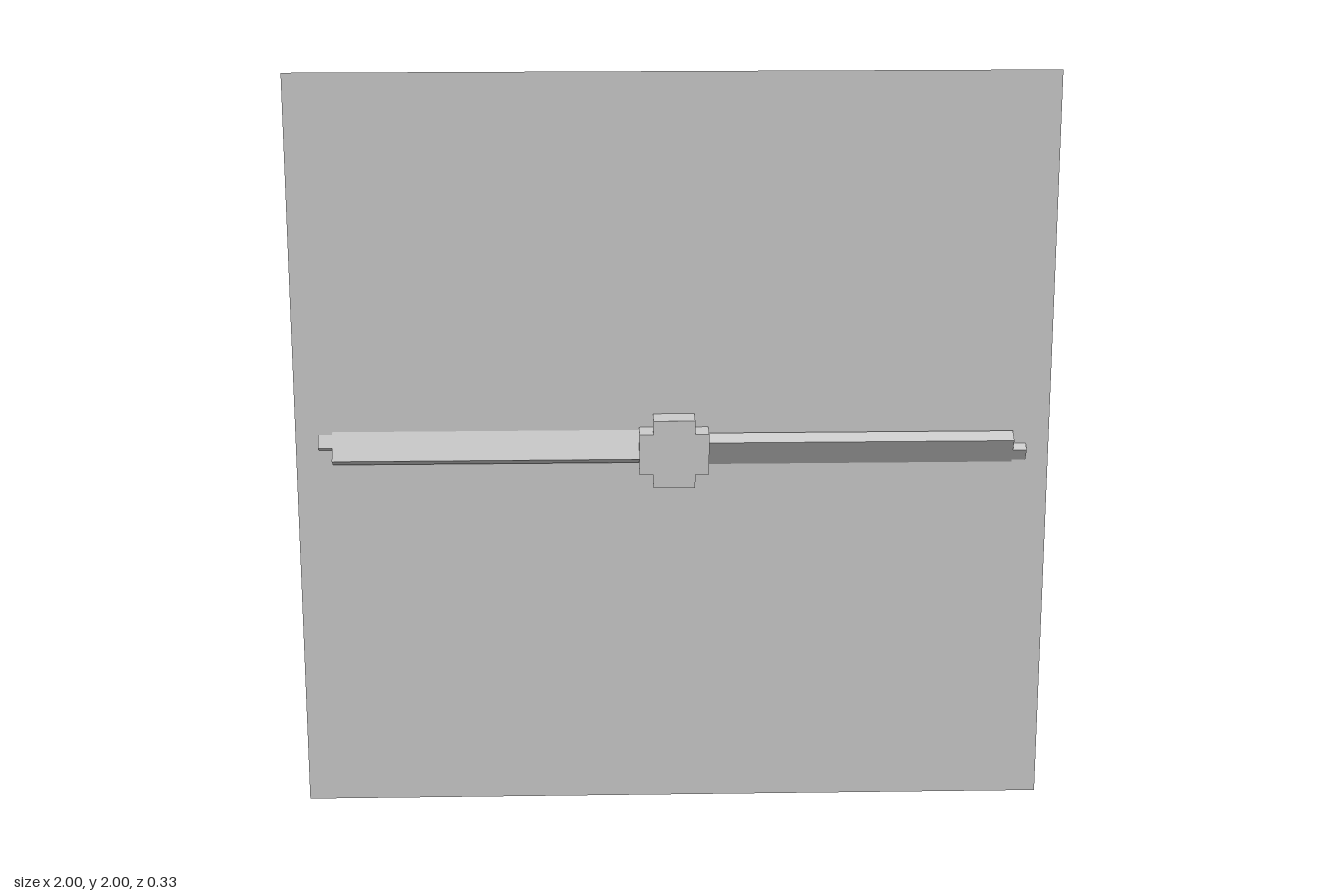
import * as THREE from 'three';

const U = 0.0367;       // basic block unit
const HUB_Z = 0.0915;   // middle of the hub

const material = new THREE.MeshStandardMaterial({ color: 0xcccccc, flatShading: true });
const sheetMaterial = new THREE.MeshStandardMaterial({ color: 0xcccccc, side: THREE.DoubleSide });

// Extrudes an outline given in block units
function extrudeOutline(name, points, depth) {
  const shape = new THREE.Shape(points.map(([x, y]) => new THREE.Vector2(x * U, y * U)));
  const geometry = new THREE.ExtrudeGeometry(shape, { depth: depth * U, bevelEnabled: false });
  const mesh = new THREE.Mesh(geometry, material);
  mesh.name = name;
  return mesh;
}

// Stepped blade, pitched 30 degrees, reaching out along +x
function createBlade(name) {
  const blade = extrudeOutline('bladePanel', [
    [2.5, 0], [2.5, -3], [4.5, -3], [4.5, -4], [22.6, -4], [22.6, -3], [24.6, -3],
    [24.6, -2], [25.6, -2], [25.6, -1], [24.6, -1], [24.6, 0],
  ], 1);
  blade.rotation.x = Math.PI / 6;
  blade.position.set(0, 0.04, 0.1);
  const group = new THREE.Group();
  group.name = name;
  group.add(blade);
  return group;
}

export function createModel() {
  const model = new THREE.Group();
  model.name = 'propeller';

  const rotor = new THREE.Group();
  rotor.name = 'rotor';
  rotor.position.y = 1;
  model.add(rotor);

  // Hub: square with its corners notched out
  const hub = extrudeOutline('hub', [
    [-1.5, -2.5], [1.5, -2.5], [1.5, -1.5], [2.5, -1.5], [2.5, 1.5], [1.5, 1.5],
    [1.5, 2.5], [-1.5, 2.5], [-1.5, 1.5], [-2.5, 1.5], [-2.5, -1.5], [-1.5, -1.5],
  ], 4);
  hub.position.z = HUB_Z - 2 * U;
  rotor.add(hub);

  // Drive shaft behind the hub
  const shaft = new THREE.Mesh(new THREE.BoxGeometry(2 * U, 2 * U, 5 * U), material);
  shaft.name = 'shaft';
  shaft.position.z = HUB_Z - 4.5 * U;
  rotor.add(shaft);

  // Two blades, half a turn apart
  ['leftBlade', 'rightBlade'].forEach((name, i) => {
    const blade = createBlade(name);
    blade.rotation.z = i * Math.PI;
    rotor.add(blade);
  });

  // Flat square sheet marking the spinning disc
  const sheet = new THREE.Mesh(new THREE.PlaneGeometry(2, 2), sheetMaterial);
  sheet.name = 'spinSheet';
  sheet.position.set(0, 1, HUB_Z);
  model.add(sheet);

  return model;
}
